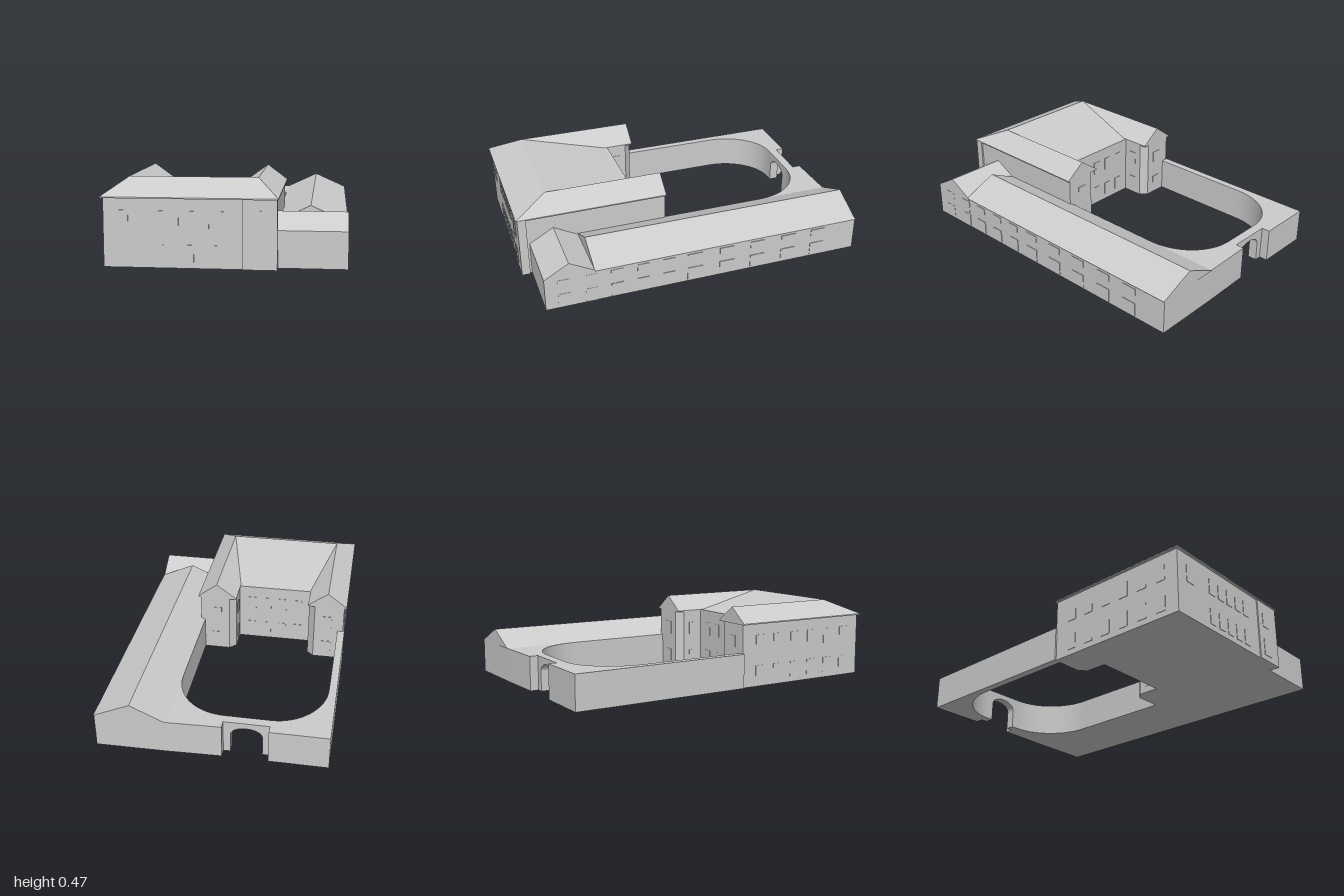
import * as THREE from 'three';

const grey = new THREE.MeshStandardMaterial({ color: 0xcccccc, flatShading: true });
const smooth = new THREE.MeshStandardMaterial({ color: 0xcccccc });

function add(parent, name, geometry, material = grey) {
  const mesh = new THREE.Mesh(geometry, material);
  mesh.name = name;
  parent.add(mesh);
  return mesh;
}

const extrude = (shape, depth) =>
  new THREE.ExtrudeGeometry(shape, { depth, bevelEnabled: false, curveSegments: 16 });

const polygon = (points) => new THREE.Shape(points.map(([a, b]) => new THREE.Vector2(a, b)));

// Ground plan drawn in (x, -z), raised from y0 to y1
const raise = (shape, y0, y1) => extrude(shape, y1 - y0).rotateX(-Math.PI / 2).translate(0, y0, 0);

// U-shaped plan, symmetric in x, with optional chamfers on the inner wing corners
function uPlan(half, inner, front, court, back, chamfer = 0) {
  const right = [[half, -front], [half, -back], [inner + chamfer, -back], [inner, -back - chamfer], [inner, -court]];
  const left = right.map(([x, y]) => [-x, y]).reverse();
  const points = chamfer ? [...right, ...left] : [...right, ...left].filter((p, i) => i !== 3 && i !== 6);
  return polygon(points);
}

// Flat polygons, each cut into a fan of triangles
function facets(list) {
  const positions = [];
  for (const f of list)
    for (let i = 1; i < f.length - 1; i++) positions.push(...f[0], ...f[i], ...f[i + 1]);
  const g = new THREE.BufferGeometry();
  g.setAttribute('position', new THREE.Float32BufferAttribute(positions, 3));
  g.computeVertexNormals();
  return g;
}

// Shallow window panel on a wall that faces along x or z
function addWindow(parent, axis, x, y, z, w, h) {
  const t = 0.005;
  const size = axis === 'x' ? [t, h, w] : [w, h, t];
  add(parent, 'window', new THREE.BoxGeometry(...size).translate(x, y, z));
}

function mainBuilding() {
  const g = new THREE.Group();
  g.name = 'mainBuilding';
  g.position.x = -0.185;
  add(g, 'mainWalls', raise(uPlan(0.46, 0.235, 0.985, 0.265, 0.095, 0.04), 0, 0.376));
  add(g, 'frontProjection', new THREE.BoxGeometry(0.185, 0.376, 0.05).translate(0.3775, 0.188, 0.967));
  add(g, 'eaves', raise(uPlan(0.475, 0.23, 1, 0.26, 0.09), 0.373, 0.38));

  // Hipped front, inward-sloping middle and two gabled rear wings
  const e = 0.38, r = 0.47;
  const faces = [
    [[-0.475, e, 1], [0.475, e, 1], [0.355, r, 0.8], [-0.355, r, 0.8]],
    [[-0.355, r, 0.8], [0.355, r, 0.8], [0.23, e, 0.28], [-0.23, e, 0.28]],
  ];
  const wing = [
    [[-0.475, e, 1], [-0.355, r, 0.8], [-0.355, r, 0.09], [-0.475, e, 0.09]],
    [[-0.355, r, 0.09], [-0.355, r, 0.8], [-0.23, e, 0.28], [-0.23, e, 0.09]],
    [[-0.475, e, 0.09], [-0.355, r, 0.09], [-0.23, e, 0.09]],
  ];
  for (const f of wing) faces.push(f, f.map(([x, y, z]) => [-x, y, z]).reverse());
  add(g, 'mainRoof', facets(faces));

  // Front windows
  for (const y of [0.08, 0.262]) {
    for (let i = 0; i < 5; i++) addWindow(g, 'z', -0.16 + i * 0.081, y, 0.985, 0.05, 0.092);
    addWindow(g, 'z', 0.357, y + 0.003, 0.992, 0.06, 0.1);
  }
  addWindow(g, 'z', -0.355, 0.258, 0.985, 0.06, 0.104);

  // Side, courtyard and wing-end windows
  for (const y of [0.08, 0.262]) {
    for (let i = 0; i < 6; i++) addWindow(g, 'x', -0.46, y, 0.22 + i * 0.13, 0.06, 0.092);
    for (let i = 0; i < 4; i++) addWindow(g, 'z', -0.15 + i * 0.1, y, 0.265, 0.05, 0.08);
    for (const s of [-1, 1]) {
      addWindow(g, 'z', s * 0.355, y, 0.095, 0.06, 0.08);
      addWindow(g, 'x', s * 0.235, y, 0.2, 0.05, 0.08);
    }
  }
  return g;
}

function courtyardWings() {
  const g = new THREE.Group();
  g.name = 'courtyardWings';
  const h = 0.203;

  // Thin left range with a rounded courtyard corner
  const left = polygon([[-0.655, -0.1], [-0.61, -0.1], [-0.61, 0.55]]);
  left.bezierCurveTo(-0.61, 0.73, -0.48, 0.88, -0.32, 0.88);
  left.lineTo(-0.32, 0.985);
  left.lineTo(-0.655, 0.985);
  add(g, 'leftRange', raise(left, 0, h));

  // Rear and right ranges, rounded the opposite way
  const right = polygon([[0.25, -0.65], [0.655, -0.65], [0.655, 1], [0.25, 0.995], [-0.06, 0.985], [-0.06, 0.88]]);
  right.bezierCurveTo(0.12, 0.88, 0.25, 0.73, 0.25, 0.55);
  add(g, 'rightRange', raise(right, 0, h));

  // Gateway with a shallow arch, set back from the rear wall
  const gate = polygon([[-0.32, 0], [-0.28, 0], [-0.28, 0.12]]);
  gate.bezierCurveTo(-0.27, 0.185, -0.11, 0.185, -0.1, 0.12);
  gate.lineTo(-0.1, 0);
  gate.lineTo(-0.06, 0);
  gate.lineTo(-0.06, h);
  gate.lineTo(-0.32, h);
  add(g, 'archedGate', extrude(gate, 0.055).translate(0, 0, -0.935), smooth);

  // Long gabled roof over the right range
  const gable = polygon([[0.25, h], [0.66, h], [0.45, 0.297]]);
  add(g, 'longRoof', extrude(gable, 1.64).translate(0, 0, -1));

  // Cross-gabled block at the front end, profile in (-z, y)
  const block = polygon([[-0.93, 0], [-0.63, 0], [-0.63, h], [-0.785, 0.287], [-0.93, h]]);
  add(g, 'frontBlock', extrude(block, 0.385).rotateY(Math.PI / 2).translate(0.272, 0, 0));

  // Two rows of windows along the outer wall
  for (const z of [0.82, 0.66, 0.51, 0.355, 0.2, 0.04, -0.16, -0.355, -0.555, -0.75]) {
    const w = z < 0.1 ? 0.092 : 0.072;
    addWindow(g, 'x', 0.656, 0.05, z, w, 0.082);
    addWindow(g, 'x', 0.656, 0.165, z, w, 0.04);
  }
  return g;
}

export function createModel() {
  const model = new THREE.Group();
  model.name = 'courtyardBuilding';
  model.add(mainBuilding(), courtyardWings());
  return model;
}
